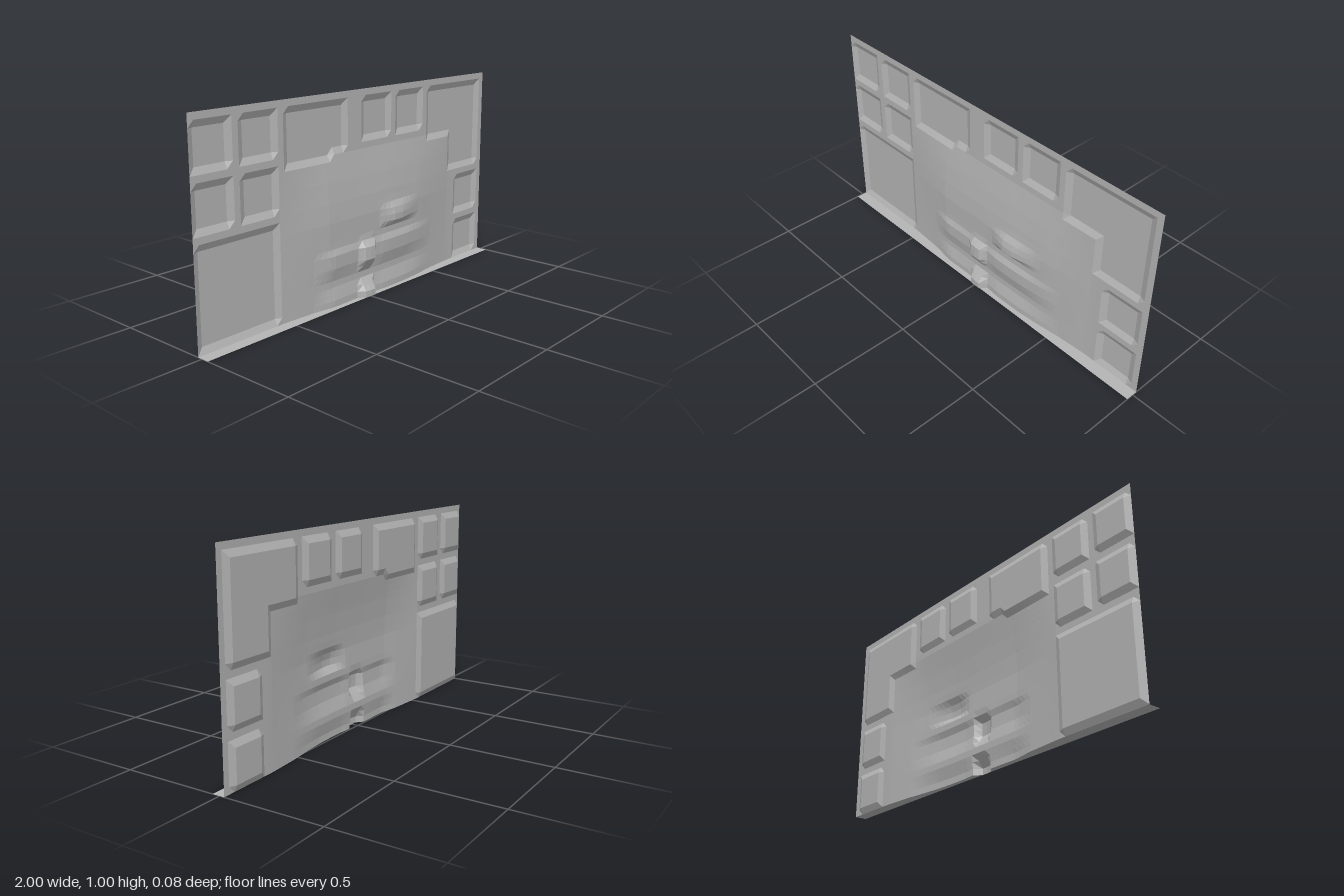
import * as THREE from 'three';

const BASE = -0.024, DEEP = -0.038, COLS = 64, ROWS = 32;

// recessed panels in grid steps: left, right, bottom, top of the bevel's outer edge
const PANELS = [
  [0, 7, 24, 31], [8, 15, 24, 31], [16, 29, 23, 31], [16, 26, 22, 31],
  [32, 39, 24, 31], [40, 47, 24, 31], [48, 63, 22, 31], [54, 63, 16, 31],
  [0, 7, 16, 23], [8, 15, 16, 23], [0, 15, 0, 15],
  [56, 63, 8, 15], [56, 63, 0, 7],
];

// piecewise linear curve through [position, value] pairs
function curve(points, t) {
  if (t <= points[0][0]) return points[0][1];
  for (let k = 1; k < points.length; k++) {
    const [a, va] = points[k - 1], [b, vb] = points[k];
    if (t <= b) return va + (vb - va) * (t - a) / (b - a);
  }
  return points[points.length - 1][1];
}

// broad swelling of the sheet
const swellY = [[0, 0.022], [0.13, 0.024], [0.31, 0.032], [0.41, 0.035], [0.5, 0.029], [0.6, 0.018], [0.72, 0]];
const swellX = [[-0.53, 0], [-0.25, 0.85], [0.2, 1], [0.42, 0.8], [0.7, 0]];
// two horizontal ridges
const ridgeY = [[0, 0.014], [0.032, 0.014], [0.095, 0], [0.125, 0], [0.188, 0.014], [0.25, 0.014], [0.285, 0]];
const ridgeX = [[-0.34, 0], [-0.22, 0.9], [-0.07, 0.7], [0.07, 0.6], [0.13, 1], [0.3, 1], [0.53, 0]];
// narrow central knobs, standing on the ridges
const knobY = [[0, 0.063], [0.032, 0.063], [0.094, 0.02], [0.125, 0.022], [0.188, 0.063], [0.25, 0.06], [0.285, 0.03]];
const knobX = [[-0.063, 0], [-0.031, 0.85], [0, 1], [0.032, 1], [0.063, 0]];
// off-centre peak with a steep underside
const peakY = [[0.312, 0], [0.344, 0.024], [0.39, 0.023], [0.44, 0]];
const peakX = [[0.09, 0], [0.19, 1], [0.25, 1], [0.4, 0]];

function height(x, y) {
  const i = Math.round((x + 1) * 32), j = Math.round(y * 32);
  if (PANELS.some(([l, r, b, t]) => i > l && i < r && j > b && j < t)) return DEEP;
  let h = curve(swellY, y) * curve(swellX, x)
    + curve(ridgeY, y) * curve(ridgeX, x)
    + curve(peakY, y) * curve(peakX, x);
  if (y < 0.285) {
    const k = curve(knobX, x);
    h += Math.max(0, curve(knobY, y) - h) * k;
  }
  return BASE + h;
}

export function createModel() {
  const group = new THREE.Group();
  const grey = new THREE.MeshStandardMaterial({
    name: 'grey', color: 0xb4b4b4, flatShading: true, side: THREE.DoubleSide,
  });

  // relief sheet
  const sheet = new THREE.PlaneGeometry(2, 1, COLS, ROWS).translate(0, 0.5, 0);
  const p = sheet.attributes.position;
  for (let k = 0; k < p.count; k++) p.setZ(k, height(p.getX(k), p.getY(k)));
  sheet.computeVertexNormals();
  const reliefSheet = new THREE.Mesh(sheet, grey);
  reliefSheet.name = 'reliefSheet';
  group.add(reliefSheet);

  // flat bottom strip from the sheet's lower edge to a straight front edge
  const strip = new THREE.PlaneGeometry(2, 1, COLS, 1);
  const q = strip.attributes.position;
  for (let k = 0; k < q.count; k++) {
    const back = q.getY(k) > 0;
    q.setXYZ(k, q.getX(k), 0, back ? height(q.getX(k), 0) : 0.036);
  }
  strip.computeVertexNormals();
  const bottomStrip = new THREE.Mesh(strip, grey);
  bottomStrip.name = 'bottomStrip';
  group.add(bottomStrip);
  return group;
}
